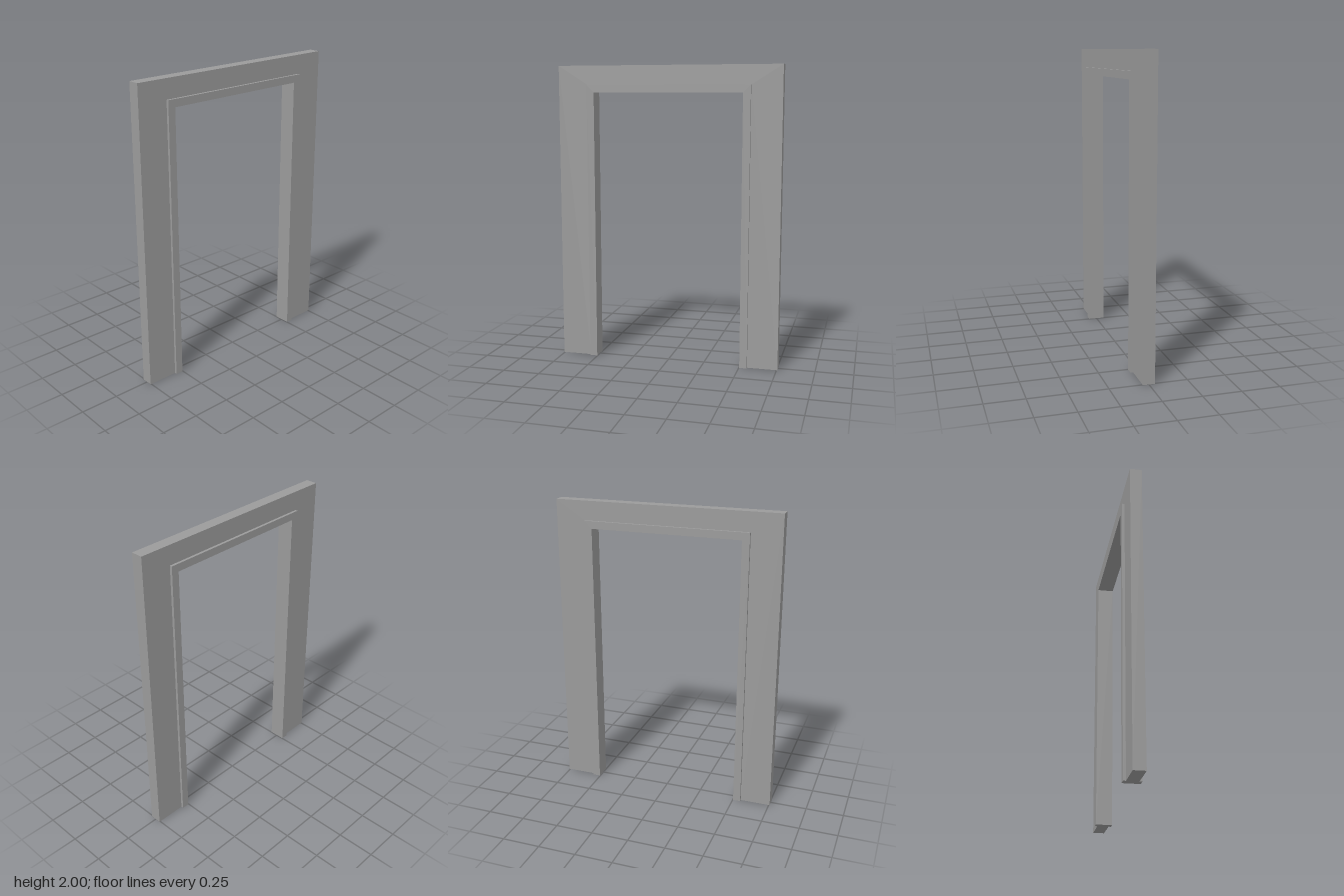
import * as THREE from 'three';

const material = new THREE.MeshStandardMaterial({ color: 0x9b9b9b, flatShading: true });

// Upside-down U standing on the ground, extruded evenly about z = 0
function arch(name, outerX, outerY, innerX, innerY, depth) {
  const shape = new THREE.Shape([
    [-outerX, 0], [-innerX, 0], [-innerX, innerY], [innerX, innerY],
    [innerX, 0], [outerX, 0], [outerX, outerY], [-outerX, outerY],
  ].map(([x, y]) => new THREE.Vector2(x, y)));
  const geometry = new THREE.ExtrudeGeometry(shape, { depth, bevelEnabled: false });
  geometry.translate(0, 0, -depth / 2);
  const mesh = new THREE.Mesh(geometry, material);
  mesh.name = name;
  return mesh;
}

export function createModel() {
  const model = new THREE.Group();
  model.name = 'doorway';

  const trimX = 0.553, trimY = 1.872, trimWidth = 0.05;

  // Wall surround
  model.add(arch('wall', 0.756, 2, trimX, trimY, 0.077));

  // Door frame lining the opening, standing proud of the wall on both faces
  model.add(arch('doorFrame', trimX, trimY, trimX - trimWidth, trimY - trimWidth, 0.111));

  return model;
}
